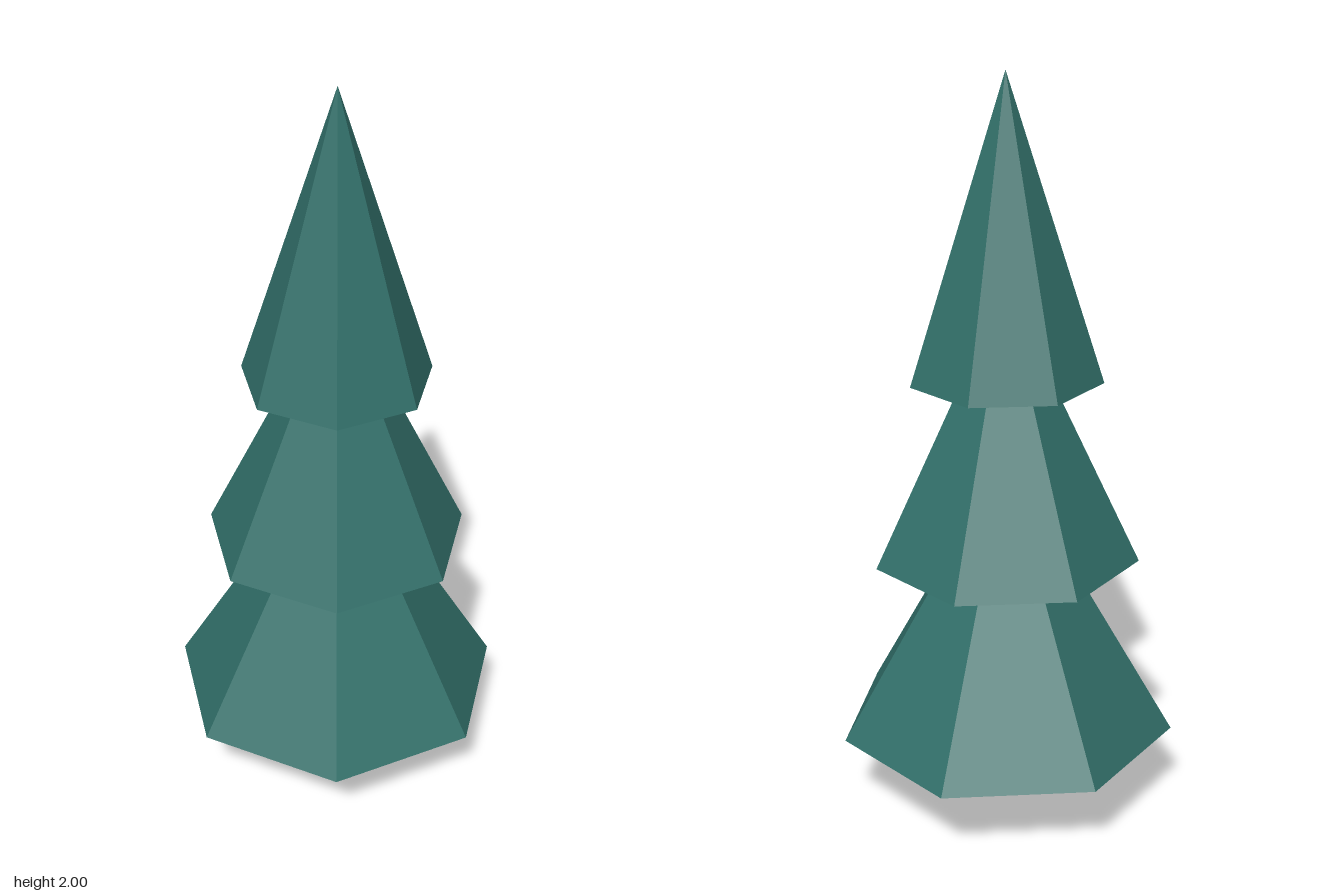
import * as THREE from 'three';

export function createModel() {
  const tree = new THREE.Group();
  tree.name = 'pineTree';

  const needles = new THREE.MeshStandardMaterial({ color: 0x32706a, flatShading: true, side: THREE.DoubleSide });
  needles.name = 'needleGreen';
  const bark = new THREE.MeshStandardMaterial({ color: 0x694830, flatShading: true });
  bark.name = 'barkBrown';

  // The axis sits slightly back so the odd-sided outline is centred in z
  const axisZ = -0.023;

  function add(name, geometry, material, baseY, height) {
    const mesh = new THREE.Mesh(geometry, material);
    mesh.name = name;
    mesh.position.set(0, baseY + height / 2, axisZ);
    tree.add(mesh);
  }

  // Five-sided trunk, ending inside the lowest tier
  const trunkHeight = 0.36;
  add('trunk', new THREE.CylinderGeometry(0.062, 0.062, trunkHeight, 5), bark, 0, trunkHeight);

  // Three hollow seven-sided foliage tiers: name, radius, base height, tier height
  const tiers = [
    ['lowerFoliage', 0.46, 0.217, 0.78],
    ['middleFoliage', 0.359, 0.716, 0.745],
    ['topFoliage', 0.257, 1.21, 0.79],
  ];
  for (const [name, radius, baseY, height] of tiers) {
    add(name, new THREE.ConeGeometry(radius, height, 7, 1, true), needles, baseY, height);
  }

  return tree;
}
